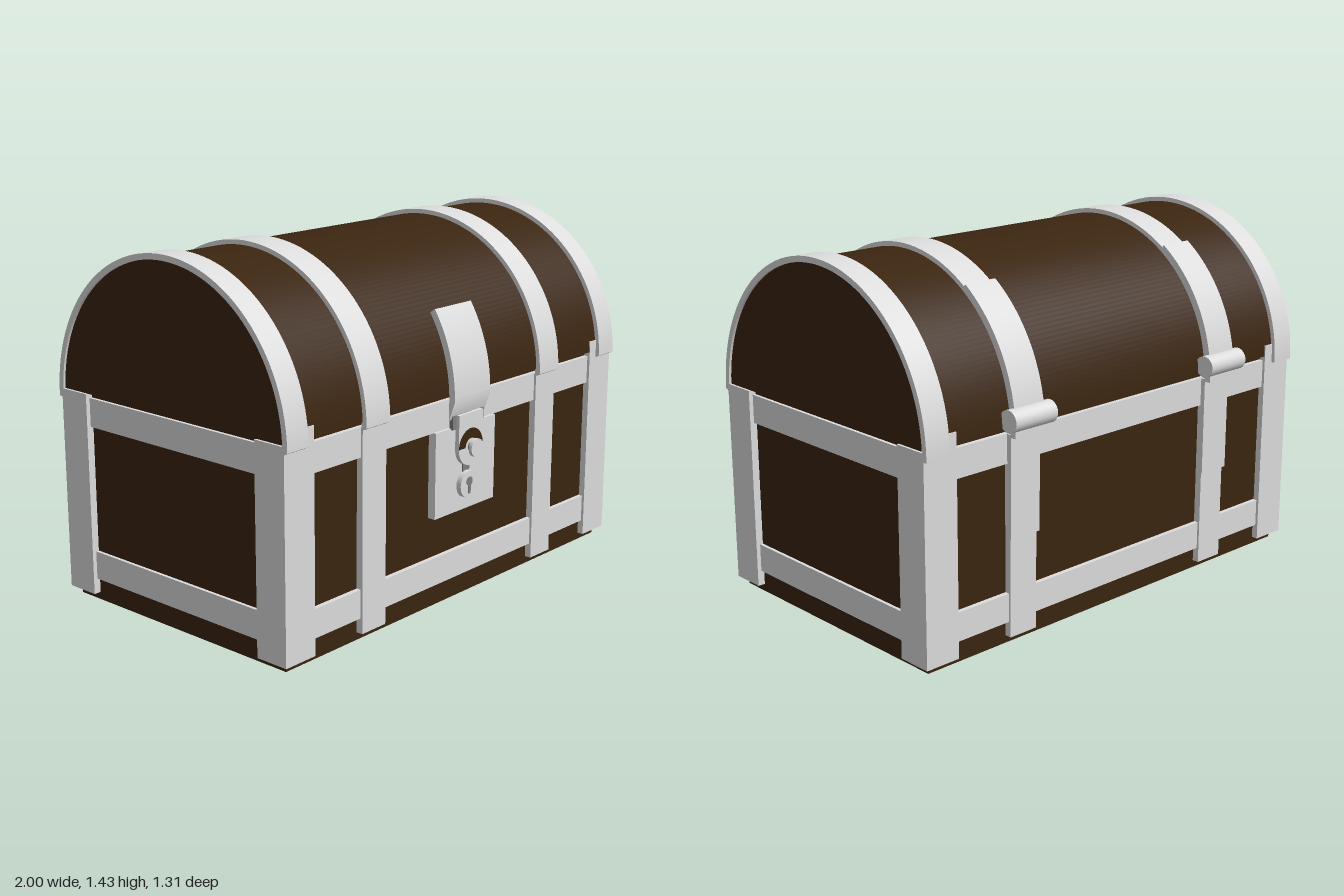
import * as THREE from 'three';
import { toCreasedNormals } from 'three/addons/utils/BufferGeometryUtils.js';

const CY = 0.82;   // height of the lid arc centre
const CZ = 0.005;  // depth centre of chest

export function createModel() {
  const root = new THREE.Group();
  root.name = 'treasureChest';
  const mat = (name, color) => Object.assign(new THREE.MeshStandardMaterial({ color }), { name });
  const wood = mat('dark wood', 0x3b2510);
  const metal = mat('pale metal', 0xdddddd);
  const iron = mat('grey iron', 0x808080);

  const add = (name, geo, material, x = 0, y = 0, z = 0) => {
    const m = new THREE.Mesh(geo, material);
    m.name = name;
    m.position.set(x, y, z);
    root.add(m);
    return m;
  };
  // Box given by its limits, depth measured from the chest centre
  const box = (name, material, x0, x1, y0, y1, z0, z1) =>
    add(name, new THREE.BoxGeometry(x1 - x0, y1 - y0, z1 - z0), material,
      (x0 + x1) / 2, (y0 + y1) / 2, (z0 + z1) / 2 + CZ);
  // Side profile (z, y) swept along x
  const sweep = (name, shape, width, material, x, y = CY) => {
    const g = new THREE.ExtrudeGeometry(shape, { depth: width, bevelEnabled: false, curveSegments: 48 });
    g.translate(0, 0, -width / 2);
    g.rotateY(-Math.PI / 2);
    return add(name, toCreasedNormals(g, 0.5), material, x, y, CZ);
  };
  // Curved strip, with straight tails dropping from its ends
  const strip = (rIn, rOut, a0, a1, tail0, tail1) => {
    const s = new THREE.Shape();
    const p = (r, a, d) => [r * Math.cos(a), r * Math.sin(a) - d];
    s.moveTo(...p(rOut, a0, tail0));
    s.absarc(0, 0, rOut, a0, a1, false);
    if (tail1) s.lineTo(...p(rOut, a1, tail1));
    s.lineTo(...p(rIn, a1, tail1));
    s.absarc(0, 0, rIn, a1, a0, true);
    if (tail0) s.lineTo(...p(rIn, a0, tail0));
    s.closePath();
    return s;
  };
  const flat = (name, shape, depth, material, y, z) =>
    add(name, toCreasedNormals(new THREE.ExtrudeGeometry(shape,
      { depth, bevelEnabled: false, curveSegments: 24 }), 0.5), material, 0, y, z);
  const disc = (name, r, depth, material, y, z) => {
    const g = new THREE.CylinderGeometry(r, r, depth, 32);
    g.rotateX(Math.PI / 2);
    return add(name, g, material, 0, y, z);
  };

  // Wooden body and barrel lid
  box('body', wood, -0.97, 0.97, 0, 0.84, -0.562, 0.562);
  const a = Math.asin(0.02 / 0.59);
  const lid = new THREE.Shape();
  lid.absarc(0, 0, 0.59, a, Math.PI - a, false);
  lid.closePath();
  sweep('lid', lid, 1.98, wood, 0);

  // Horizontal rails round the body
  for (const [y0, y1] of [[0.09, 0.203], [0.708, 0.822]]) {
    for (const s of [-1, 1]) {
      box('longRail', metal, -0.96, 0.96, y0, y1, s * 0.57 - 0.011, s * 0.57 + 0.011);
      box('endRail', metal, s * 0.972 - 0.011, s * 0.972 + 0.011, y0, y1, -0.56, 0.56);
    }
  }

  for (const sx of [-1, 1]) {
    for (const sz of [-1, 1]) {
      // Corner guards made of two plates
      const x = sx * 0.925, z = sz * 0.579;
      box('cornerFace', metal, x - 0.075, x + 0.075, 0.03, 0.84, z - 0.013, z + 0.013);
      box('cornerTab', metal, sx * 0.885 - 0.035, sx * 0.885 + 0.035, 0.84, 0.885, z - 0.013, z + 0.013);
      box('cornerSide', metal, sx * 0.985 - 0.015, sx * 0.985 + 0.015, 0.03, 0.84,
        sz * 0.521 - 0.071, sz * 0.521 + 0.071);
      // Vertical straps
      box('bodyStrap', metal, sx * 0.53 - 0.065, sx * 0.53 + 0.065, 0.03, 0.82,
        sz * 0.575 - 0.015, sz * 0.575 + 0.015);
    }
    // Hoops over the lid
    const hoop = strip(0.585, 0.608, 0, Math.PI, 0.012, 0.012);
    sweep('endHoop', hoop, 0.105, metal, sx * 0.9475);
    sweep('lidStrap', hoop, 0.13, metal, sx * 0.53);

    // Hinges at the back
    sweep('hingeUpperLeaf', strip(0.6, 0.626, 2.19, Math.PI, 0, 0.01), 0.145, metal, sx * 0.53);
    box('hingeLowerLeaf', metal, sx * 0.53 - 0.072, sx * 0.53 + 0.072, 0.42, 0.82, -0.6, -0.57);
    const barrel = new THREE.CylinderGeometry(0.043, 0.043, 0.205, 24);
    barrel.rotateZ(Math.PI / 2);
    add('hingeBarrel', barrel, metal, sx * 0.53, 0.88, -0.614);
  }

  // Lock plate and hasp
  box('lockPlate', metal, -0.185, 0.185, 0.368, 0.71, 0.56, 0.596);
  sweep('haspLeaf', strip(0.605, 0.632, 0, 0.578, 0.075, 0), 0.22, metal, 0).position.z = -0.007 + CZ;
  box('haspKnuckle', iron, -0.095, 0.095, 0.705, 0.76, 0.59, 0.606);

  // Tongue with a rounded end and a staple opening
  const tongue = new THREE.Shape();
  tongue.moveTo(-0.074, 0.135);
  tongue.lineTo(-0.074, 0);
  tongue.absarc(0, 0, 0.074, Math.PI, Math.PI * 2, false);
  tongue.lineTo(0.074, 0.135);
  tongue.closePath();
  flat('haspTongue', tongue, 0.018, metal, 0.625, 0.607);
  const opening = new THREE.Shape();
  opening.absarc(0, 0, 0.073, 0, Math.PI, false);
  opening.absarc(0, 0, 0.034, Math.PI, 0, true);
  opening.closePath();
  flat('tongueOpening', opening, 0.003, wood, 0.625, 0.624);

  // Staple knob
  disc('knobShaft', 0.018, 0.06, iron, 0.625, 0.62);
  disc('knobCap', 0.036, 0.014, metal, 0.625, 0.65);

  // Keyhole boss
  box('bossLink', iron, -0.02, 0.02, 0.515, 0.56, 0.585, 0.6);
  disc('keyBoss', 0.054, 0.028, metal, 0.472, 0.608);
  disc('keyholeTop', 0.018, 0.004, iron, 0.484, 0.6225);
  const slot = new THREE.Shape([[-0.01, 0.01], [-0.006, -0.04], [0.006, -0.04], [0.01, 0.01]]
    .map(([x, y]) => new THREE.Vector2(x, y)));
  flat('keyholeSlot', slot, 0.004, iron, 0.474, 0.6205);

  return root;
}
